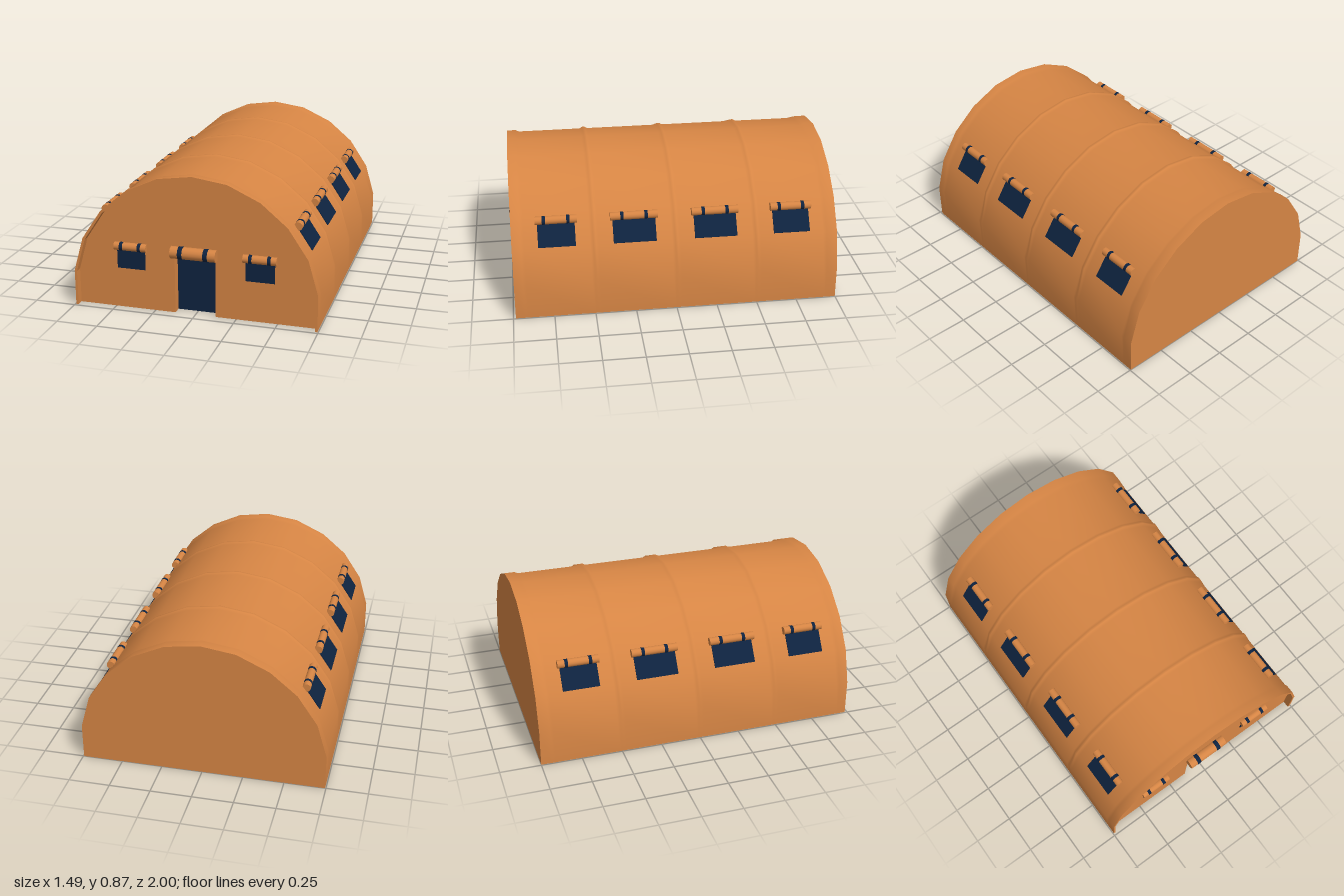
import * as THREE from 'three';

const canvas = new THREE.MeshStandardMaterial({ color: 0xd68544, side: THREE.DoubleSide });
canvas.name = 'orange canvas';
const navy = new THREE.MeshStandardMaterial({ color: 0x0e2340, side: THREE.DoubleSide });
navy.name = 'navy panel';

// Arch outline from the +x base over the ridge to the -x base
const half = [[0.745, 0], [0.745, 0.22], [0.685, 0.43], [0.565, 0.61], [0.405, 0.745], [0.21, 0.835]];
const arch = [...half, [0, 0.865], ...half.map(([x, y]) => [-x, y]).reverse()];
const rim = arch.map(([x, y]) => [x * 0.98, y * 0.982]);

// Arch pulled in slightly above the upright walls
const sag = 0.01;
const sagged = arch.map(([x, y]) => {
  if (y < 0.3) return [x, y];
  const d = Math.hypot(x, y - 0.22);
  return [x - (sag * x) / d, y - (sag * (y - 0.22)) / d];
});

const WALL_Z = 0.94, FRONT_Z = 0.985, BACK_Z = -1;

function mesh(name, geometry, material, x = 0, y = 0, z = 0) {
  const m = new THREE.Mesh(geometry, material);
  m.name = name;
  m.position.set(x, y, z);
  return m;
}

// Surface through a row of cross-sections [outline, z]
function loft(rows, flat) {
  const pos = [], index = [], n = arch.length;
  for (const [outline, z] of rows) for (const [x, y] of outline) pos.push(x, y, z);
  for (let j = 0; j < rows.length - 1; j++) {
    for (let i = 0; i < n - 1; i++) {
      const a = j * n + i, b = a + 1, c = a + n, d = c + 1;
      index.push(a, c, b, b, c, d);
    }
  }
  let g = new THREE.BufferGeometry();
  g.setAttribute('position', new THREE.Float32BufferAttribute(pos, 3));
  g.setIndex(index);
  if (flat) g = g.toNonIndexed();
  g.computeVertexNormals();
  return g;
}

// Rolled-up flap along x with two straps
function roll(length, r, strapX, strapWidth) {
  const g = new THREE.Group();
  g.name = 'rolledFlap';
  const bar = (name, radius, len, mat, x) => {
    const m = mesh(name, new THREE.CylinderGeometry(radius, radius, len, 14), mat, x);
    m.rotation.z = Math.PI / 2;
    g.add(m);
  };
  bar('flapRoll', r, length, canvas, 0);
  for (const s of [-1, 1]) bar('strap', r * 1.04, strapWidth, navy, s * strapX);
  return g;
}

// Window pane with its rolled flap above; faces local +z
function makeWindow(name, width, height, flapLength, strapX, flapZ) {
  const g = new THREE.Group();
  g.name = name;
  g.add(mesh('pane', new THREE.BoxGeometry(width, height, 0.009), navy));
  const flap = roll(flapLength, 0.025, strapX, 0.02);
  flap.position.set(0, height / 2, flapZ);
  g.add(flap);
  return g;
}

export function createModel() {
  const model = new THREE.Group();
  model.name = 'archedTent';

  // Roof shell with raised ribs
  const rows = [[arch, FRONT_Z], [arch, 0.93], [sagged, 0.91]];
  for (const z of [0.49, -0.005, -0.5]) rows.push([sagged, z + 0.025], [arch, z + 0.008], [arch, z - 0.008], [sagged, z - 0.025]);
  rows.push([sagged, -0.915], [arch, -0.935], [arch, BACK_Z]);
  model.add(mesh('roofShell', loft(rows, false), canvas));
  model.add(mesh('frontRim', loft([[rim, WALL_Z], [rim, FRONT_Z], [arch, FRONT_Z]], true), canvas));

  // End walls, the front one cut out for the door
  const toVectors = (pts) => pts.map(([x, y]) => new THREE.Vector2(x, y));
  const doorW = 0.125, doorH = 0.36, depth = 0.055;
  const frontShape = new THREE.Shape(toVectors([...rim, [-doorW, 0], [-doorW, doorH], [doorW, doorH], [doorW, 0]]));
  model.add(mesh('frontWall', new THREE.ShapeGeometry(frontShape), canvas, 0, 0, WALL_Z));
  const back = mesh('backWall', new THREE.ShapeGeometry(new THREE.Shape(toVectors(arch))), canvas, 0, 0, BACK_Z);
  back.rotation.y = Math.PI;
  model.add(back);

  // Recessed door with jambs, lintel and rolled flap
  const door = new THREE.Group();
  door.name = 'door';
  door.add(mesh('doorPanel', new THREE.PlaneGeometry(doorW * 2, doorH), navy, 0, doorH / 2, WALL_Z - depth));
  for (const s of [-1, 1]) {
    const jamb = mesh('doorJamb', new THREE.PlaneGeometry(depth, doorH), canvas, s * doorW, doorH / 2, WALL_Z - depth / 2);
    jamb.rotation.y = -s * Math.PI / 2;
    door.add(jamb);
  }
  const lintel = mesh('doorLintel', new THREE.PlaneGeometry(doorW * 2, depth), canvas, 0, doorH, WALL_Z - depth / 2);
  lintel.rotation.x = Math.PI / 2;
  door.add(lintel);
  const doorFlap = roll(0.276, 0.037, 0.077, 0.027);
  doorFlap.position.set(0, 0.39, 0.961);
  door.add(doorFlap);
  model.add(door);

  for (const s of [-1, 1]) {
    // Front windows
    const front = makeWindow('frontWindow', 0.175, 0.14, 0.2, 0.056, 0.008);
    front.position.set(s * 0.395, 0.32, WALL_Z);
    model.add(front);

    // Side windows lying on the sloped facet
    const tilt = Math.atan2(0.12, 0.18);
    for (const [z, width] of [[0.715, 0.225], [0.245, 0.26], [-0.25, 0.26], [-0.72, 0.225]]) {
      const side = makeWindow('sideWindow', width, 0.163, width + 0.028, 0.073, 0.013);
      side.rotation.set(-tilt, s * Math.PI / 2, 0, 'YXZ');
      side.position.set(s * (0.634 - sag * 0.8), 0.507 - sag * 0.53, z);
      model.add(side);
    }
  }
  return model;
}
